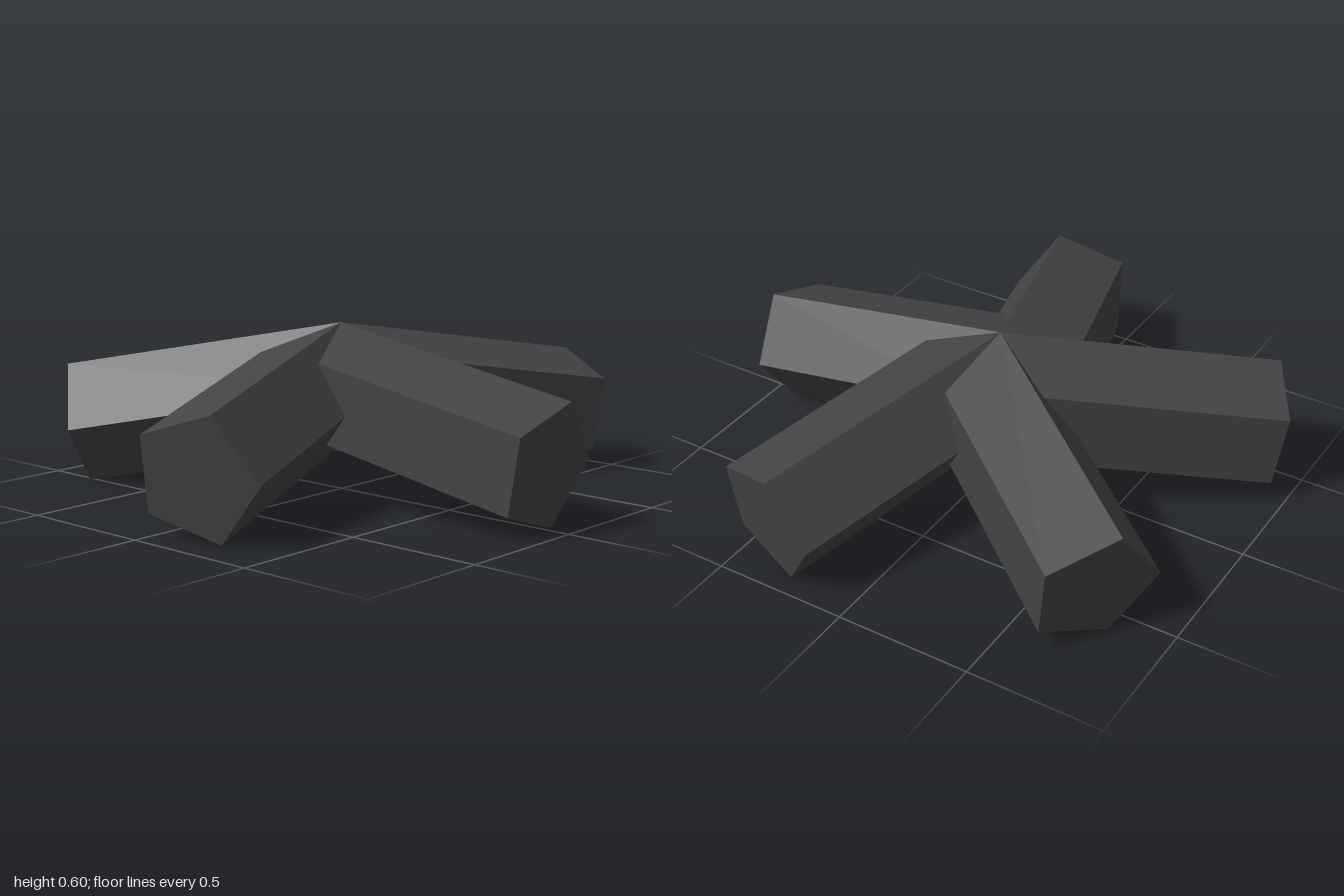
import * as THREE from 'three';

const R = 0.232;                          // pentagon circumradius
const LENGTH = 1.024;                     // arm length
const TILT = THREE.MathUtils.degToRad(9.45);
const STEP = (Math.PI * 2) / 5;

// Pentagonal bar running along +x, hung from the start of its top ridge
function armGeometry() {
  const g = new THREE.CylinderGeometry(R, R, LENGTH, 5, 1, false, Math.PI);
  g.rotateZ(-Math.PI / 2);
  g.translate(LENGTH / 2, -R * Math.sin(STEP), R * Math.cos(STEP));
  g.rotateZ(-TILT);
  return g;
}

export function createModel() {
  const model = new THREE.Group();
  model.name = 'fiveArmedStar';

  const charcoal = new THREE.MeshStandardMaterial({ color: 0x444444 });
  charcoal.name = 'charcoal';
  charcoal.flatShading = true;

  // Five equal arms whose ridges meet at the peak
  const arms = new THREE.Group();
  arms.name = 'arms';
  arms.position.set(-0.03, 0.603, -0.03);
  const geometry = armGeometry();
  for (let i = 0; i < 5; i++) {
    const arm = new THREE.Mesh(geometry, charcoal);
    arm.name = `arm${i + 1}`;
    arm.rotation.y = -i * STEP;
    arms.add(arm);
  }
  model.add(arms);
  return model;
}
